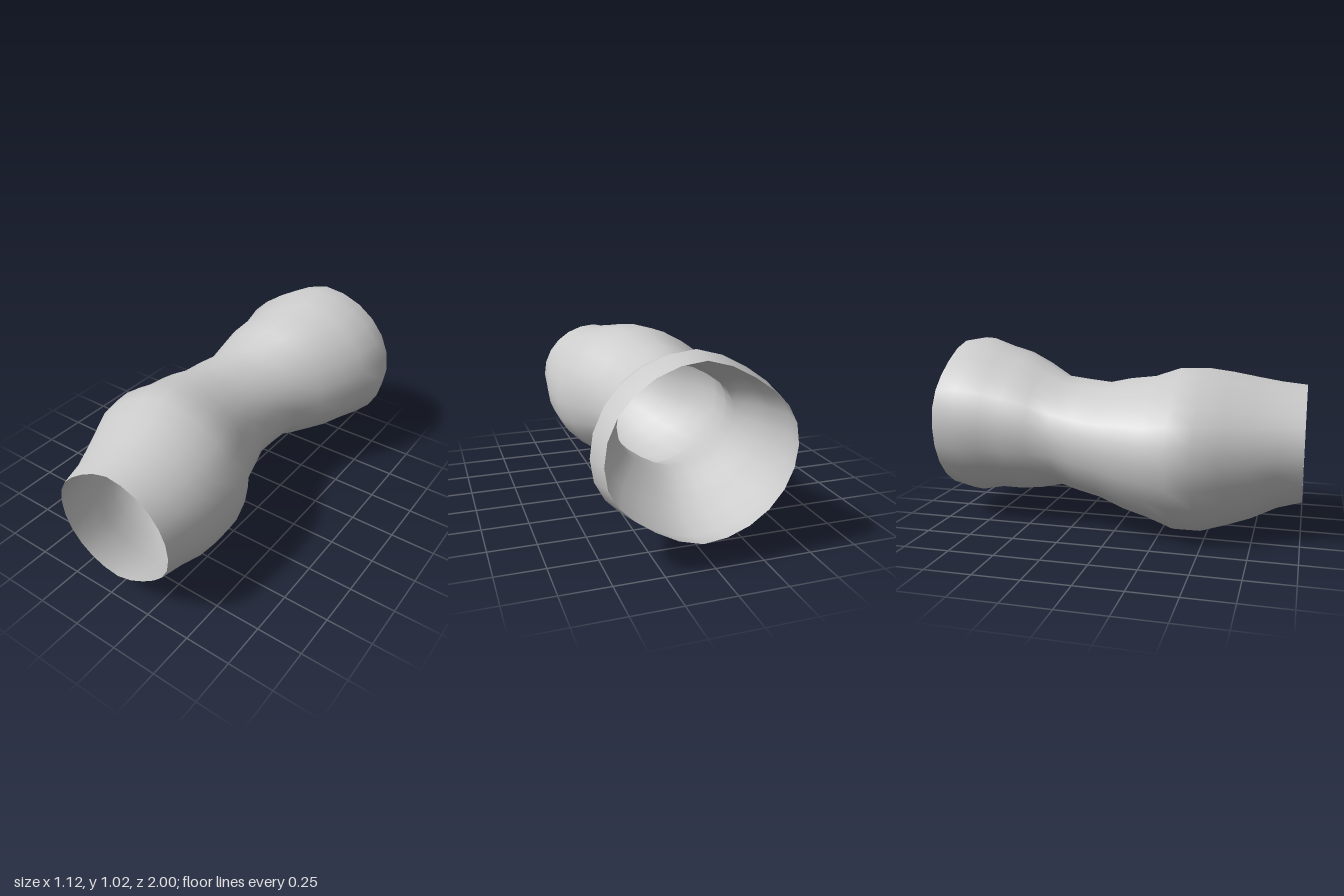
import * as THREE from 'three';

// Cross-sections from front (z = 1) to back (z = -1): left x, right x, bottom y, top y
const RINGS = [
  [-0.28, 0.41, 0.165, 0.81],
  [-0.325, 0.425, 0.13, 0.825],
  [-0.395, 0.443, 0.07, 0.85],
  [-0.465, 0.445, 0.032, 0.878],
  [-0.535, 0.435, 0.003, 0.9],
  [-0.56, 0.395, 0.013, 0.9],
  [-0.53, 0.315, 0.07, 0.855],
  [-0.51, 0.28, 0.11, 0.84],
  [-0.46, 0.245, 0.16, 0.81],
  [-0.43, 0.26, 0.183, 0.82],
  [-0.385, 0.285, 0.207, 0.83],
  [-0.395, 0.37, 0.17, 0.9],
  [-0.41, 0.455, 0.147, 0.955],
  [-0.405, 0.51, 0.14, 0.985],
  [-0.43, 0.56, 0.112, 1.028],
  [-0.4, 0.53, 0.14, 1.005],
];
const SIDES = 24;

// Open tube wall lofted through the rings
function loft() {
  const positions = [];
  const indices = [];
  RINGS.forEach(([x0, x1, y0, y1], i) => {
    const z = 1 - (2 * i) / (RINGS.length - 1);
    for (let j = 0; j < SIDES; j++) {
      const a = (j / SIDES) * Math.PI * 2;
      // the upper-left and lower-right quarters are slightly flattened
      const flat = 1 - 0.12 * Math.pow(Math.max(0, -Math.sin(2 * a)), 1.4);
      positions.push(
        (x0 + x1) / 2 + ((x1 - x0) / 2) * Math.cos(a),
        (y0 + y1) / 2 + ((y1 - y0) / 2) * Math.sin(a) * flat,
        z
      );
      if (i < RINGS.length - 1) {
        const k = (j + 1) % SIDES;
        const p = i * SIDES + j, q = i * SIDES + k;
        indices.push(p, p + SIDES, q, q, p + SIDES, q + SIDES);
      }
    }
  });
  const geometry = new THREE.BufferGeometry();
  geometry.setAttribute('position', new THREE.Float32BufferAttribute(positions, 3));
  geometry.setIndex(indices);
  geometry.computeVertexNormals();
  return geometry;
}

export function createModel() {
  const group = new THREE.Group();
  group.name = 'wavyTube';
  const material = new THREE.MeshStandardMaterial({ color: 0xcccccc, side: THREE.DoubleSide });
  const wall = new THREE.Mesh(loft(), material);
  wall.name = 'tubeWall';
  group.add(wall);
  return group;
}
